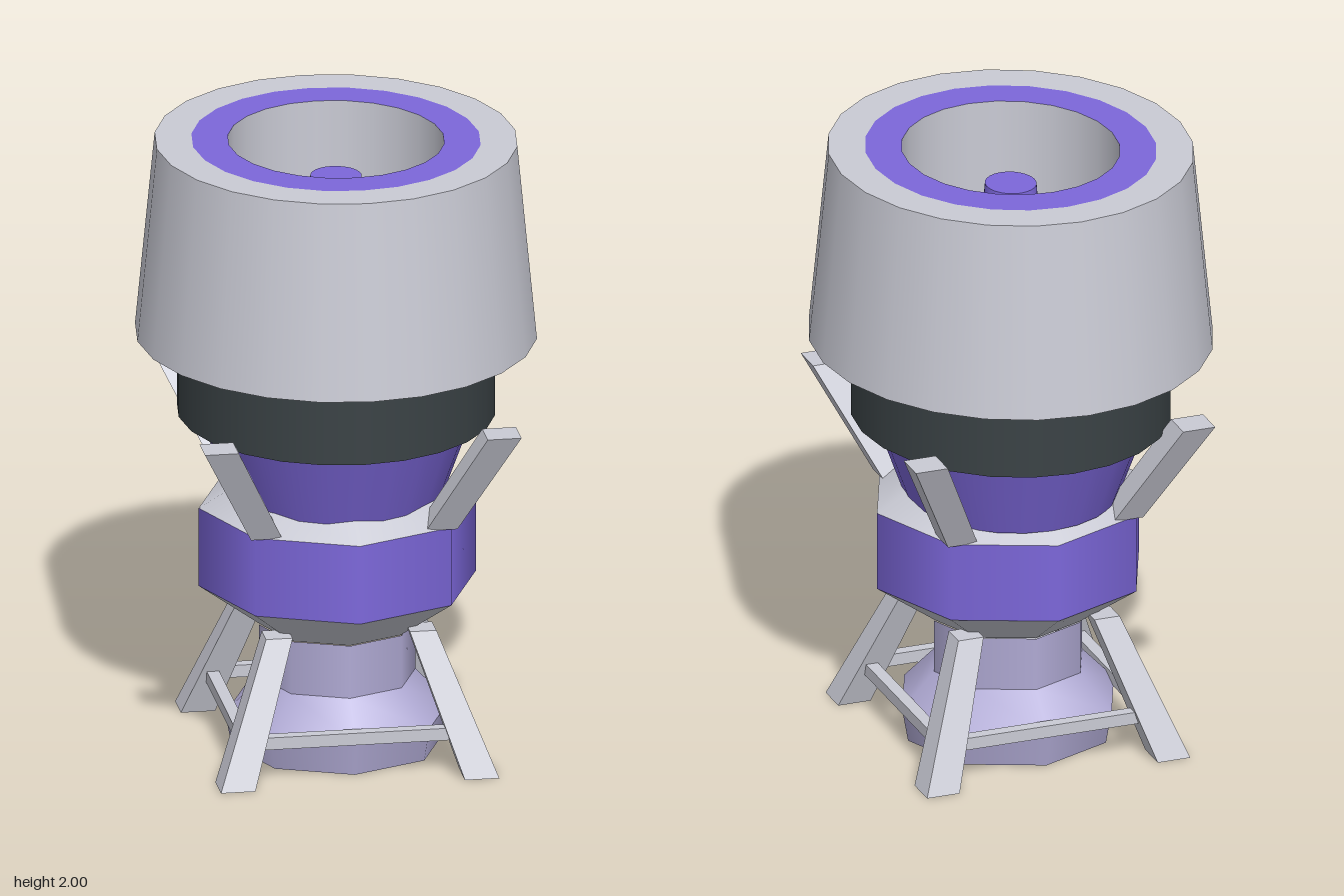
import * as THREE from 'three';

const mat = (name, color) => {
  const m = new THREE.MeshStandardMaterial({ color });
  m.name = name;
  return m;
};

export function createModel() {
  const grey = mat('light grey', 0xcacbd5);
  const purple = mat('purple', 0x7c67da);
  const dark = mat('charcoal', 0x3a4245);
  const lavender = mat('lavender', 0xb0aad4);

  const model = new THREE.Group();
  const upper = new THREE.Group();
  upper.name = 'upperBody';
  upper.scale.z = 1.085; // slightly oval seen from above
  const lower = new THREE.Group();
  lower.name = 'lowerBody';
  lower.position.z = 0.024;
  model.add(upper, lower);

  const add = (parent, name, geometry, material) => {
    const mesh = new THREE.Mesh(geometry, material);
    mesh.name = name;
    parent.add(mesh);
  };

  // One turned surface per pair of [radius, y] points: creases stay sharp between
  // bands. Running up faces outward, running down faces inward.
  const turned = (parent, name, sides, material, points) => {
    for (let i = 0; i < points.length - 1; i++) {
      const pair = [points[i], points[i + 1]].map(([r, y]) => new THREE.Vector2(r, y));
      add(parent, name, new THREE.LatheGeometry(pair, sides), material);
    }
  };

  // Slanted square post with level ends: [x, y, z, width] at the bottom and top
  const post = (parent, name, bottom, top) => {
    const g = new THREE.BoxGeometry(1, 1, 1);
    const p = g.attributes.position;
    for (let i = 0; i < p.count; i++) {
      const [x, y, z, w] = p.getY(i) < 0 ? bottom : top;
      p.setXYZ(i, x + p.getX(i) * w, y, z + p.getZ(i) * w);
    }
    const flat = g.toNonIndexed();
    flat.computeVertexNormals();
    add(parent, name, flat, grey);
  };

  // Upper barrel: hood, rim, bore, collar, neck and centre spike
  turned(upper, 'hood', 24, grey, [[0.5, 1.36], [0.635, 1.36], [0.573, 2], [0.457, 2]]);
  turned(upper, 'rimInlay', 24, purple, [[0.457, 2], [0.342, 2]]);
  turned(upper, 'bore', 24, grey, [[0.342, 2], [0.342, 0.85]]);
  turned(upper, 'collar', 24, dark, [[0.42, 1.1], [0.503, 1.1], [0.503, 1.36]]);
  turned(upper, 'neck', 24, purple, [[0.338, 0.83], [0.435, 1.1]]);
  turned(upper, 'spike', 24, purple, [[0.16, 0.865], [0.081, 1.88], [0, 1.88]]);

  // Eight-sided middle ring with sloping shoulders
  turned(lower, 'underside', 8, grey, [[0.245, 0.4], [0.443, 0.54]]);
  turned(lower, 'middleRing', 8, purple, [[0.443, 0.54], [0.443, 0.8]]);
  turned(lower, 'shoulder', 8, grey, [[0.443, 0.8], [0.333, 0.865]]);
  turned(lower, 'boreFloor', 8, purple, [[0.333, 0.865], [0, 0.865]]);

  // Eight-sided stem and bell
  turned(lower, 'bell', 8, lavender,
    [[0, 0], [0.338, 0], [0.358, 0.11], [0.25, 0.225], [0.25, 0.4]]);

  // Four legs below and four outward arms above
  for (const sx of [-1, 1]) {
    for (const sz of [-1, 1]) {
      post(lower, 'leg', [sx * 0.39, 0, sz * 0.39, 0.11], [sx * 0.23, 0.445, sz * 0.23, 0.085]);
      post(lower, 'arm', [sx * 0.28, 0.8, sz * 0.28, 0.1], [sx * 0.452, 1.155, sz * 0.452, 0.108]);
    }
  }

  // Braces joining the legs
  for (const s of [-1, 1]) {
    const along = new THREE.BoxGeometry(0.68, 0.04, 0.04);
    add(lower, 'brace', along.clone().translate(0, 0.13, s * 0.35), grey);
    add(lower, 'brace', along.clone().rotateY(Math.PI / 2).translate(s * 0.35, 0.13, 0), grey);
  }

  return model;
}
